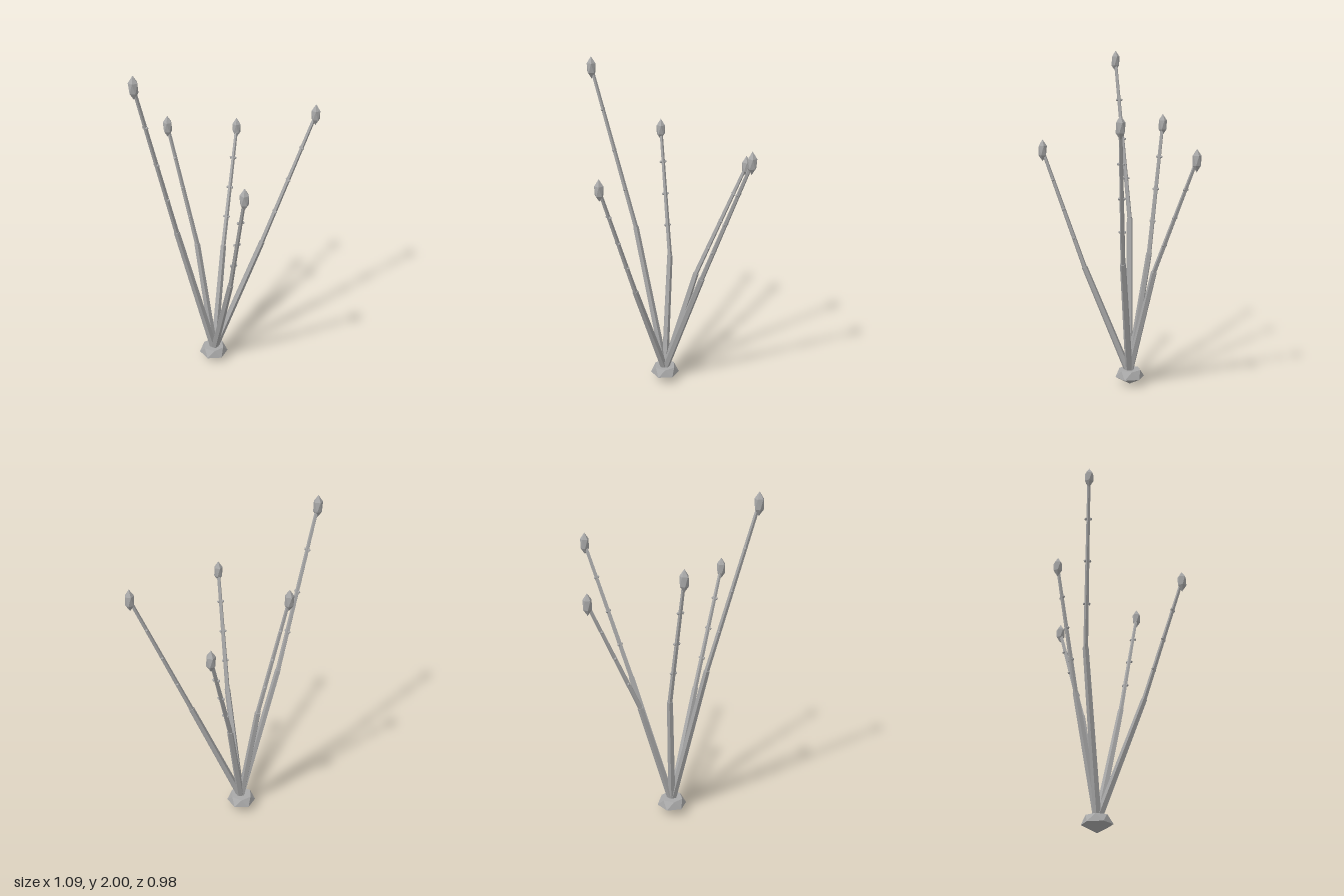
import * as THREE from 'three';
import { ConvexGeometry } from 'three/addons/geometries/ConvexGeometry.js';

const stone = new THREE.MeshStandardMaterial({ color: 0xa9a9a9, flatShading: true });
stone.name = 'plain grey';

const V = (x, y, z) => new THREE.Vector3(x, y, z);
const UP = V(0, 1, 0);

function part(name, geometry, parent) {
  const mesh = new THREE.Mesh(geometry, stone);
  mesh.name = name;
  parent.add(mesh);
  return mesh;
}

// faceted nugget: tips joined by rings [radius, y, number of corners, turn]
function nugget(tips, rings) {
  const points = tips.map((y) => V(0, y, 0));
  for (const [r, y, n, turn] of rings) {
    for (let i = 0; i < n; i++) {
      const a = (i / n) * Math.PI * 2 + turn;
      points.push(V(r * Math.cos(a), y, r * Math.sin(a)));
    }
  }
  return new ConvexGeometry(points);
}

// tapered five-sided rod from a to b
function rod(name, a, b, r0, r1, parent) {
  const dir = b.clone().sub(a);
  const mesh = part(name, new THREE.CylinderGeometry(r1, r0, dir.length(), 5), parent);
  mesh.position.copy(a).lerp(b, 0.5);
  mesh.quaternion.setFromUnitVectors(UP, dir.normalize());
  return mesh;
}

export function createModel() {
  const model = new THREE.Group();
  model.name = 'buddingStems';

  // squat root
  const root = part('root', nugget([0.004], [[0.088, 0.05, 6, 0.1], [0.066, 0.096, 6, 0.62]]), model);
  root.position.set(-0.097, 0, -0.041);

  const start = V(-0.095, 0.07, -0.038);
  const budGeometry = nugget([-0.064, 0.064], [[0.025, -0.028, 5, 0], [0.026, 0.026, 5, Math.PI / 5]]);
  const nodeGeometry = new THREE.IcosahedronGeometry(0.009, 0);

  // joint and bud centre of every stem
  const stems = [
    [V(-0.312, 0.985, 0.013), V(-0.52, 1.936, 0.155)],
    [V(-0.175, 0.8, -0.14), V(-0.32, 1.557, -0.187)],
    [V(-0.038, 0.725, 0.222), V(-0.01, 1.415, 0.465)],
    [V(-0.004, 0.725, -0.207), V(0.126, 1.388, -0.468)],
    [V(0.208, 0.81, -0.074), V(0.52, 1.583, -0.138)],
  ];

  for (const [joint, tip] of stems) {
    const stem = new THREE.Group();
    stem.name = 'stem';
    model.add(stem);
    rod('lowerStem', start, joint, 0.023, 0.018, stem);
    rod('upperStem', joint, tip, 0.0145, 0.01, stem);
    part('bud', budGeometry, stem).position.copy(tip);

    // pairs of side nodes along the upper stem
    const side = tip.clone().sub(joint).cross(UP).normalize();
    for (const t of [0.25, 0.5, 0.75]) {
      for (const s of [-1, 1]) {
        const node = part('sideNode', nodeGeometry, stem);
        node.position.copy(joint).lerp(tip, t).addScaledVector(side, s * 0.0135);
      }
    }
  }
  return model;
}
